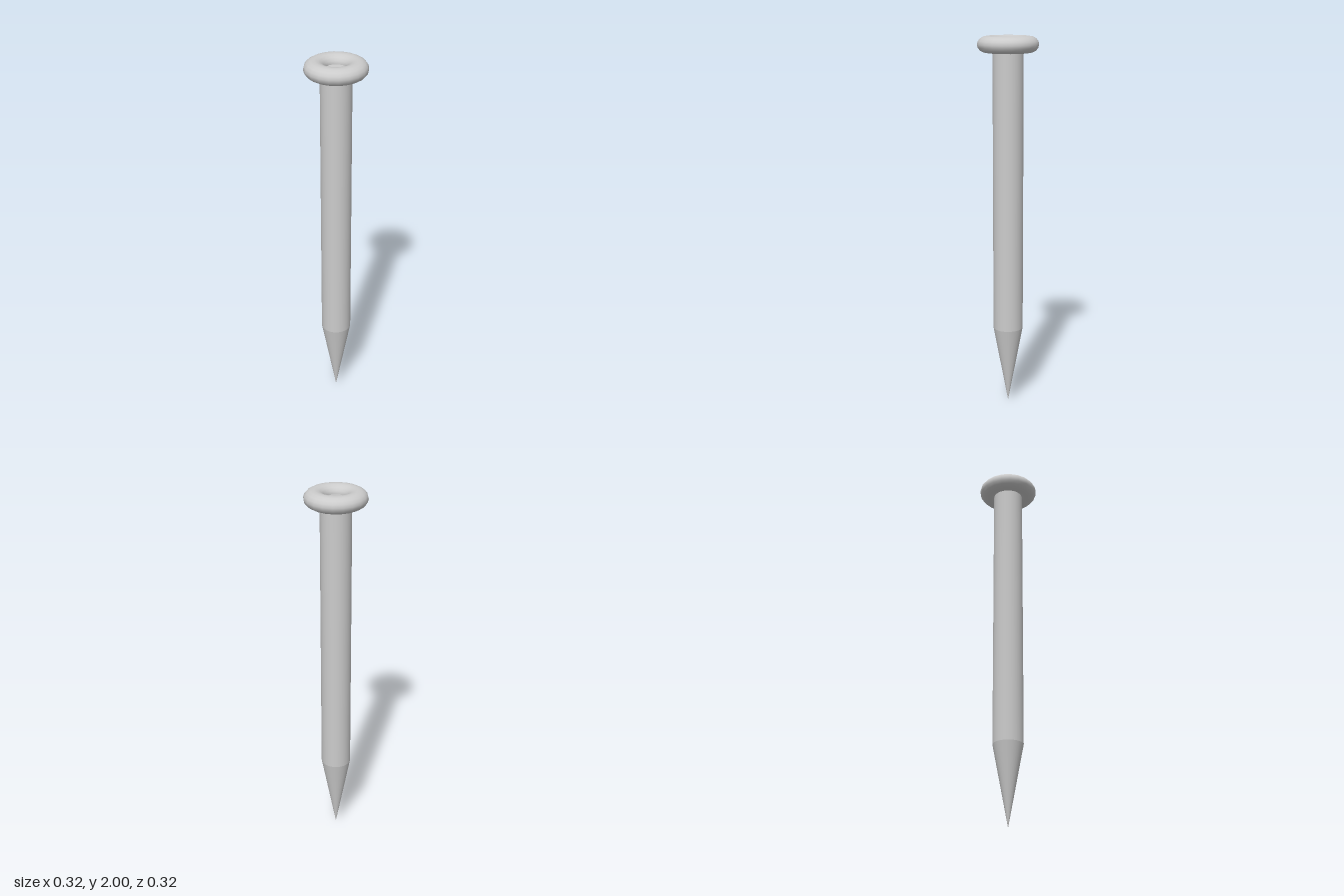
import * as THREE from 'three';

export function createModel() {
  const nail = new THREE.Group();
  nail.name = 'nail';
  const material = new THREE.MeshStandardMaterial({ color: 0xcccccc });
  const add = (name, geometry, y) => {
    const mesh = new THREE.Mesh(geometry, material);
    mesh.name = name;
    mesh.position.y = y;
    nail.add(mesh);
    return mesh;
  };

  const shaftRadius = 0.08, tipHeight = 0.43, headY = 1.957;

  // Straight round shaft, ending halfway up inside the ring head
  const shaftLength = headY - tipHeight;
  add('shaft', new THREE.CylinderGeometry(shaftRadius, shaftRadius, shaftLength, 32), tipHeight + shaftLength / 2);

  // Pointed tip, apex down
  const tip = new THREE.ConeGeometry(shaftRadius, tipHeight, 32);
  tip.rotateX(Math.PI);
  add('tip', tip, tipHeight / 2);

  // Slightly flattened ring head
  const head = new THREE.TorusGeometry(0.107, 0.0535, 16, 20);
  head.rotateX(Math.PI / 2);
  head.scale(1, 0.043 / 0.0535, 1);
  add('head', head, headY);

  return nail;
}
